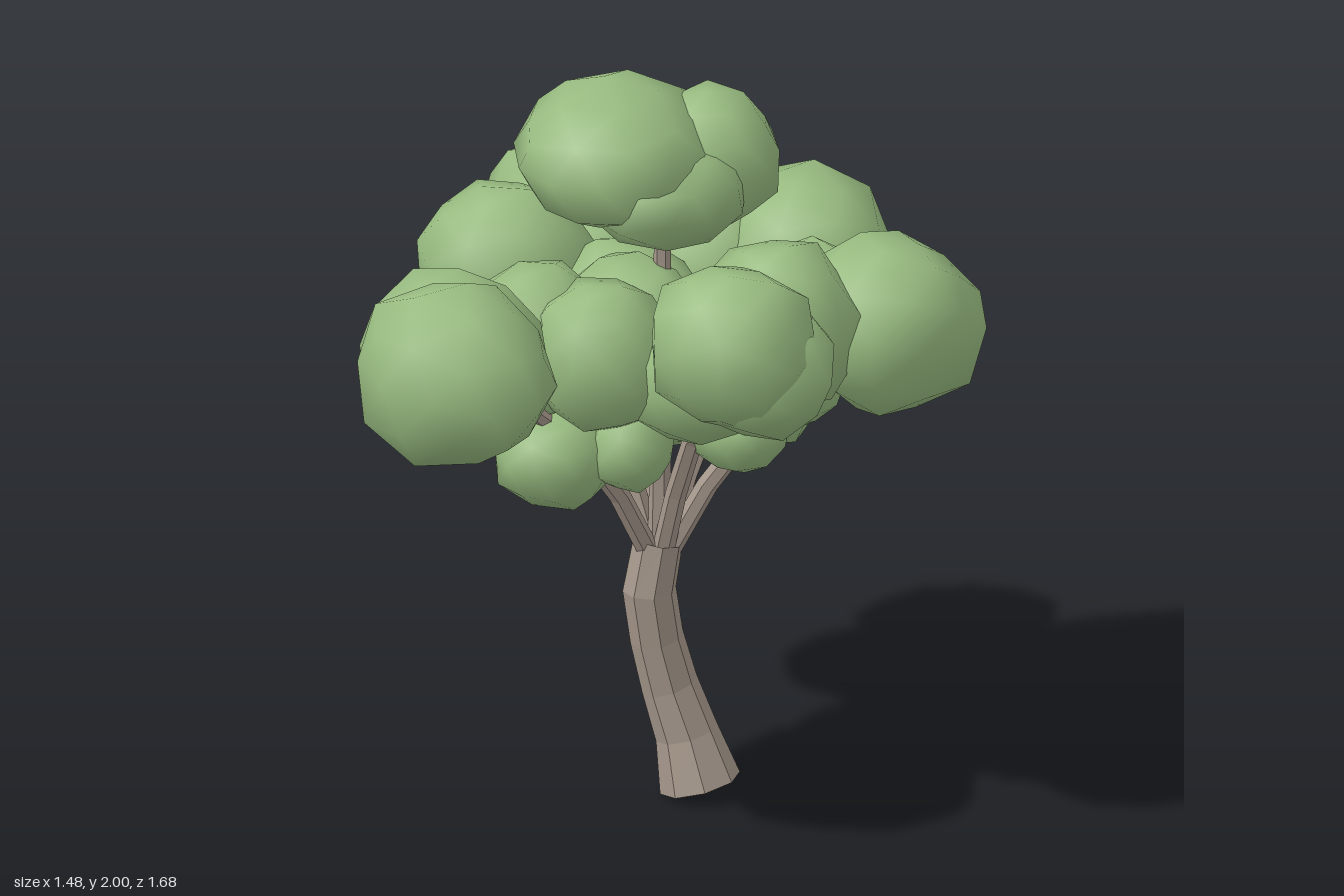
import * as THREE from 'three';
import { mergeVertices } from 'three/addons/utils/BufferGeometryUtils.js';

const bark = new THREE.MeshStandardMaterial({ color: 0xa6988c, flatShading: true, side: THREE.DoubleSide });
const leaves = new THREE.MeshStandardMaterial({ color: 0x98bb80 });

// small seeded generator, 0..1
function seeded(seed) {
  let s = seed * 7919 + 17;
  return () => {
    s = (s * 16807) % 2147483647;
    return s / 2147483647;
  };
}

// open faceted tube along a smooth path, its radius following a list of values
function limb(name, points, radii, steps, sides) {
  const curve = new THREE.CatmullRomCurve3(points.map((p) => new THREE.Vector3(...p)));
  const geo = new THREE.TubeGeometry(curve, steps, 1, sides, false);
  const pos = geo.attributes.position;
  const v = new THREE.Vector3();
  for (let i = 0; i <= steps; i++) {
    const centre = curve.getPointAt(i / steps);
    const f = (i / steps) * (radii.length - 1);
    const k = Math.min(Math.floor(f), radii.length - 2);
    const r = THREE.MathUtils.lerp(radii[k], radii[k + 1], f - k);
    for (let j = 0; j <= sides; j++) {
      const n = i * (sides + 1) + j;
      v.fromBufferAttribute(pos, n).sub(centre).multiplyScalar(r).add(centre);
      pos.setXYZ(n, v.x, v.y, v.z);
    }
  }
  const mesh = new THREE.Mesh(geo, bark);
  mesh.name = name;
  return mesh;
}

// lumpy smooth-shaded ball of leaves
function leafClump(name, [x, y, z, rx, ry, rz], seed) {
  const rand = seeded(seed);
  let geo = new THREE.IcosahedronGeometry(1, 1);
  geo.deleteAttribute('normal');
  geo.deleteAttribute('uv');
  geo = mergeVertices(geo, 1e-3);
  geo.rotateX(rand() * 3);
  geo.rotateY(rand() * 6);
  const pos = geo.attributes.position;
  for (let i = 0; i < pos.count; i++) {
    const k = 0.94 + 0.16 * rand();
    pos.setXYZ(i, pos.getX(i) * k * rx, pos.getY(i) * k * ry, pos.getZ(i) * k * rz);
  }
  geo.computeVertexNormals();
  const mesh = new THREE.Mesh(geo, leaves);
  mesh.position.set(x, y, z);
  mesh.name = name;
  return mesh;
}

export function createModel() {
  const tree = new THREE.Group();
  tree.name = 'tree';

  // leaning trunk, flared at the foot
  tree.add(limb('trunk',
    [[0.075, 0.033, -0.175], [0.035, 0.18, -0.165], [-0.005, 0.33, -0.138], [-0.025, 0.57, -0.097], [-0.01, 0.7, -0.115]],
    [0.104, 0.08, 0.072, 0.068, 0.068, 0.064], 5, 8));

  // branches fanning out of the trunk top into the crown
  const branches = new THREE.Group();
  branches.name = 'branches';
  const tips = [
    [-0.14, 1.3, 0.45], [0.38, 1.35, 0.05], [0.48, 1.3, -0.38], [0.05, 1.3, -0.58],
    [-0.45, 1.3, -0.12], [-0.48, 1.32, -0.38], [0.03, 1.75, -0.08],
  ];
  tips.forEach(([x, y, z], i) => {
    const start = [-0.01 + 0.05 * x, 0.67, -0.115 + 0.05 * (z + 0.1)];
    const mid = [x * 0.36, 0.67 + (y - 0.67) * 0.5, -0.115 + (z + 0.115) * 0.38];
    branches.add(limb('branch' + (i + 1), [start, mid, [x, y, z]], [0.028, 0.026, 0.018], 4, 6));
  });
  tree.add(branches);

  // leaf clumps: centre x, y, z and radius x, y, z
  const crown = new THREE.Group();
  crown.name = 'crown';
  const outer = [
    [-0.05, 1.795, 0.02, 0.245, 0.19, 0.265],
    [0.1, 1.75, -0.19, 0.17, 0.18, 0.18],
    [0.05, 1.72, -0.03, 0.22, 0.155, 0.22],
    [0.05, 1.32, -0.63, 0.25, 0.22, 0.215],
    [0.5, 1.33, -0.4, 0.235, 0.225, 0.235],
    [0.4, 1.42, 0.12, 0.22, 0.215, 0.2],
    [0.37, 1.39, -0.12, 0.21, 0.22, 0.19],
    [0.44, 1.35, 0.06, 0.2, 0.18, 0.2],
    [-0.49, 1.32, -0.1, 0.235, 0.23, 0.2],
    [-0.53, 1.35, -0.4, 0.21, 0.19, 0.18],
    [-0.08, 1.39, 0.625, 0.26, 0.235, 0.23],
    [-0.21, 1.34, 0.47, 0.235, 0.235, 0.22],
  ];
  const inner = [
    [-0.12, 1.27, -0.5, 0.19, 0.2, 0.18],
    [-0.38, 1.25, -0.36, 0.19, 0.19, 0.19],
    [-0.41, 1.21, -0.15, 0.17, 0.15, 0.17],
    [0.25, 1.28, -0.42, 0.19, 0.19, 0.18],
    [-0.19, 1.28, 0.15, 0.19, 0.21, 0.18],
    [0.01, 1.3, 0.15, 0.19, 0.2, 0.17],
    [-0.18, 1.25, -0.2, 0.21, 0.19, 0.2],
    [0.22, 1.26, 0.03, 0.2, 0.18, 0.18],
    [0.08, 1.22, -0.3, 0.21, 0.17, 0.18],
    [0.28, 1.2, -0.24, 0.18, 0.16, 0.17],
    [-0.03, 1.3, -0.03, 0.2, 0.2, 0.18],
  ];
  const lower = [
    [-0.1, 1.02, 0.18, 0.16, 0.14, 0.17],
    [-0.21, 1.03, 0.04, 0.13, 0.13, 0.15],
    [0.07, 1.05, 0.1, 0.1, 0.12, 0.11],
    [0.23, 1.06, -0.13, 0.13, 0.11, 0.13],
    [0.04, 1.03, -0.42, 0.14, 0.12, 0.13],
    [-0.15, 1.03, -0.36, 0.16, 0.13, 0.14],
    [0.17, 1.06, -0.3, 0.15, 0.11, 0.14],
    [-0.22, 1.06, -0.15, 0.14, 0.12, 0.15],
    [0.0, 1.1, -0.12, 0.18, 0.12, 0.2],
  ];
  const addAll = (name, list, seed) =>
    list.forEach((c, i) => crown.add(leafClump(name + (i + 1), c, seed + i)));
  addAll('outerLeaves', outer, 11);
  addAll('innerLeaves', inner, 41);
  addAll('lowerLeaves', lower, 71);
  tree.add(crown);

  return tree;
}
